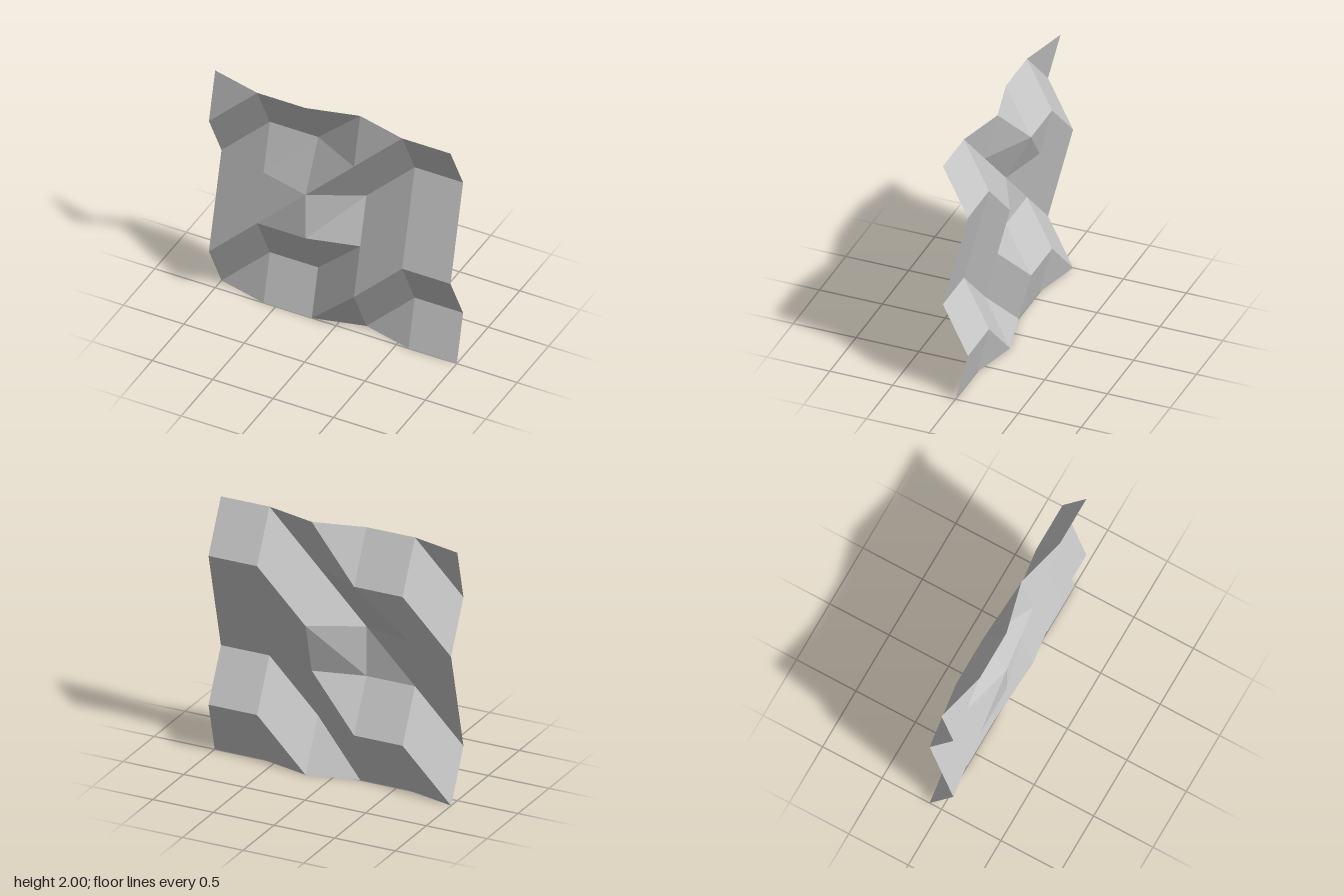
import * as THREE from 'three';

// Depth of the folds going up one column of the sheet, in units of 0.1
const RISING = [0, -1, 1, 0, -1, 1];
const SHIFTED = [-1, 1, 0, -1, 1, 0];
const BROKEN = [0, -1, 1, 1, -1, 1]; // column with the irregular fold in the middle
const COLUMNS = [SHIFTED, RISING, BROKEN, SHIFTED, RISING, RISING];
const STEP = 0.4;

export function createModel() {
  const group = new THREE.Group();
  const positions = [];
  const corner = (i, j) =>
    positions.push(-1 + i * STEP, j * STEP, COLUMNS[i][j] * 0.1);

  // Each cell is two triangles split along its rising diagonal
  for (let i = 0; i < 5; i++) {
    for (let j = 0; j < 5; j++) {
      corner(i, j); corner(i + 1, j); corner(i + 1, j + 1);
      corner(i, j); corner(i + 1, j + 1); corner(i, j + 1);
    }
  }

  const geometry = new THREE.BufferGeometry();
  geometry.setAttribute('position', new THREE.Float32BufferAttribute(positions, 3));
  geometry.computeVertexNormals();

  const sheet = new THREE.Mesh(geometry, new THREE.MeshStandardMaterial({
    color: 0xcccccc, flatShading: true, side: THREE.DoubleSide,
  }));
  sheet.name = 'foldedSheet';
  group.add(sheet);
  return group;
}
